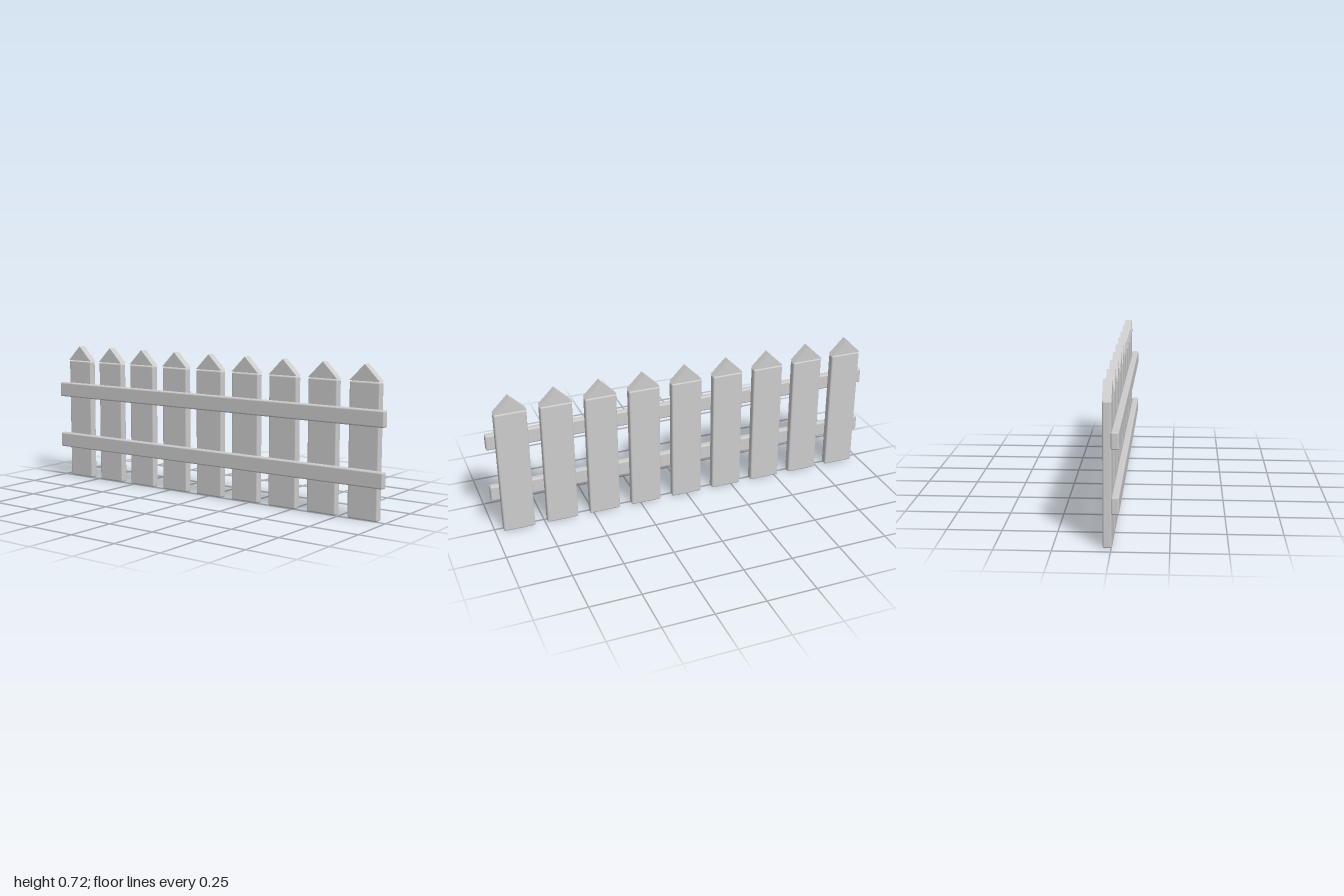
import * as THREE from 'three';
import { RoundedBoxGeometry } from 'three/addons/geometries/RoundedBoxGeometry.js';

export function createModel() {
  const fence = new THREE.Group();
  fence.name = 'picketFence';
  const grey = new THREE.MeshStandardMaterial({ color: 0xcccccc });
  grey.name = 'lightGrey';

  const add = (parent, name, geometry, x, y, z) => {
    const mesh = new THREE.Mesh(geometry, grey);
    mesh.name = name;
    mesh.position.set(x, y, z);
    parent.add(mesh);
  };

  const width = 0.157;
  const boardGeometry = new RoundedBoxGeometry(0.039, 0.641, width, 2, 0.008);
  const railGeometry = new RoundedBoxGeometry(0.035, 0.078, 2, 2, 0.008);

  // Sharp triangular prism for the picket tips, ridge running along x
  const triangle = new THREE.Shape();
  triangle.moveTo(-width / 2, 0);
  triangle.lineTo(width / 2, 0);
  triangle.lineTo(0, 0.078);
  triangle.closePath();
  const tipGeometry = new THREE.ExtrudeGeometry(triangle, { depth: 0.04, bevelEnabled: false });
  tipGeometry.translate(0, 0, -0.02);
  tipGeometry.rotateY(Math.PI / 2);

  // Nine evenly spaced pickets
  for (let i = -4; i <= 4; i++) {
    const picket = new THREE.Group();
    picket.name = 'picket';
    picket.position.z = i * 0.22;
    add(picket, 'board', boardGeometry, 0.0165, 0.3205, 0);
    add(picket, 'tip', tipGeometry, 0.0165, 0.643, 0);
    fence.add(picket);
  }

  // Two horizontal rails behind the pickets
  add(fence, 'lowerRail', railGeometry, -0.0195, 0.201, 0);
  add(fence, 'upperRail', railGeometry, -0.0195, 0.481, 0);

  return fence;
}
